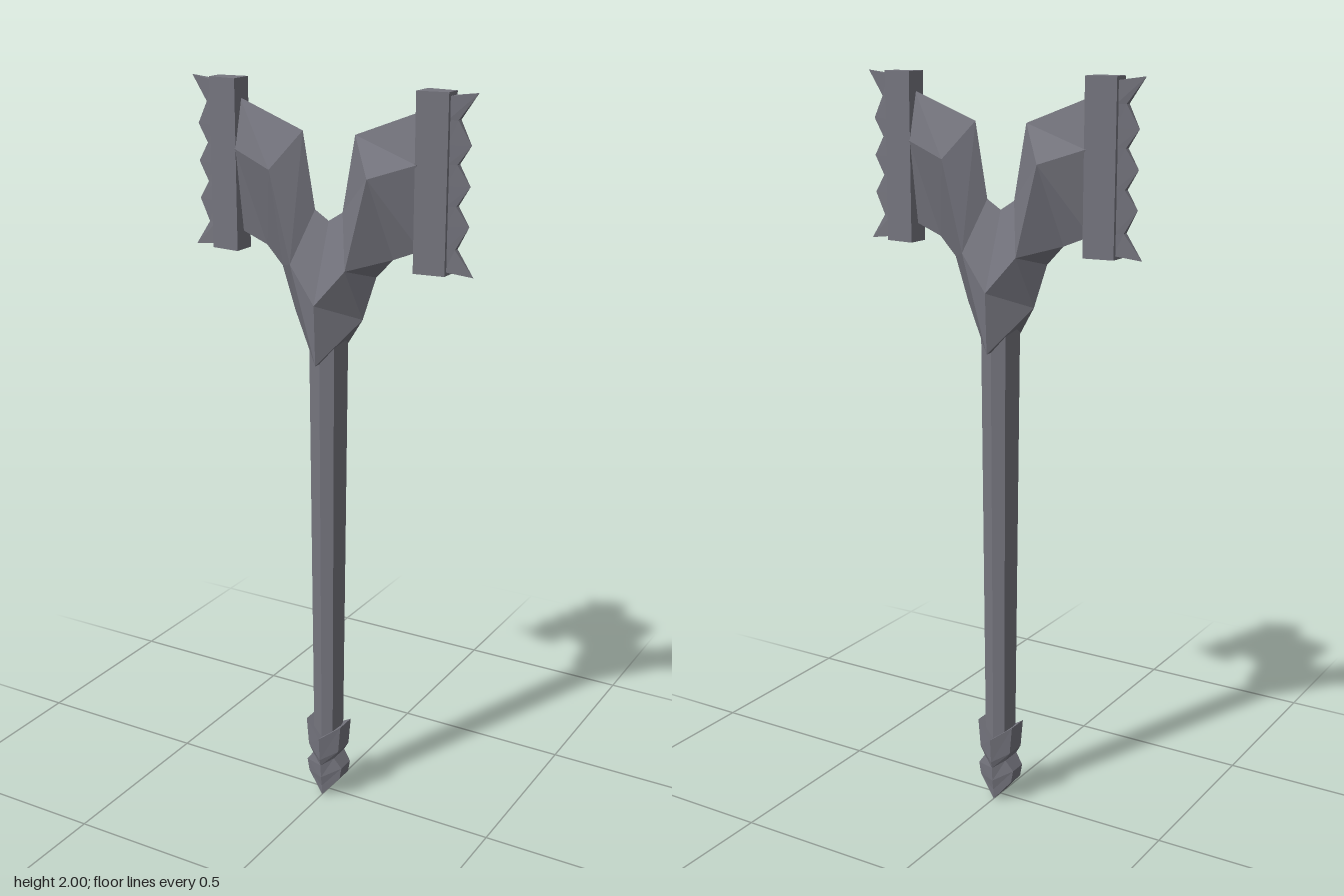
import * as THREE from 'three';

const iron = new THREE.MeshStandardMaterial({ color: 0x75757e });
iron.name = 'darkIron';
iron.flatShading = true;

// Skins a list of equal-length point rings and caps both ends.
function loft(name, rings) {
  const pos = [];
  const tri = (a, b, c) => pos.push(...a, ...b, ...c);
  const n = rings[0].length;
  for (let i = 0; i < rings.length - 1; i++) {
    for (let j = 0; j < n; j++) {
      const k = (j + 1) % n;
      const a = rings[i][j], b = rings[i][k], c = rings[i + 1][k], d = rings[i + 1][j];
      tri(a, b, c);
      tri(a, c, d);
    }
  }
  const first = rings[0], last = rings[rings.length - 1];
  for (let j = 1; j < n - 1; j++) {
    tri(first[0], first[j + 1], first[j]);
    tri(last[0], last[j], last[j + 1]);
  }
  const geo = new THREE.BufferGeometry();
  geo.setAttribute('position', new THREE.Float32BufferAttribute(pos, 3));
  geo.computeVertexNormals();
  const mesh = new THREE.Mesh(geo, iron);
  mesh.name = name;
  return mesh;
}

// Eight-sided shaft ring with an edge facing each axis
const shaftRing = (y, r) => [...Array(8).keys()].map((i) => {
  const a = i * Math.PI / 4, s = i % 2 ? r * 1.06 : r;
  return [Math.sin(a) * s, y, Math.cos(a) * s];
});

// Six-sided pommel ring whose front and back points sit at their own height
const pommelRing = (sx, sy, sz, fy, fz) => [
  [0, fy, fz], [sx, sy, sz], [sx, sy, -sz], [0, fy, -fz], [-sx, sy, -sz], [-sx, sy, sz],
];

// Forked head: crotch edge, ridge and underside at one station
const headRing = ([tx, ty, rx, ry, rz, bx, by, bz]) => [
  [tx, ty, 0], [rx, ry, rz], [bx, by, bz], [bx, by, -bz], [rx, ry, -rz],
];

function makeHead() {
  const half = [
    [0, 1.66, 0, 1.455, 0.077, 0, 1.295, 0.07],
    [0.04, 1.685, 0.08, 1.55, 0.06, 0.1, 1.415, 0],
    [0.04, 1.685, 0.08, 1.55, 0.06, 0.138, 1.53, 0],
    [0.075, 1.88, 0.14, 1.785, 0.06, 0.185, 1.58, 0],
    [0.26, 1.95, 0.26, 1.825, 0.032, 0.26, 1.61, 0],
  ];
  const right = half.map(headRing);
  const left = right.slice(1).reverse().map((r) => r.map(([x, y, z]) => [-x, y, z]));
  return loft('forkedHead', [...left, ...right]);
}

// Striking face: tapered plate with a row of teeth
function makeStrikingFace(name) {
  const g = new THREE.Group();
  g.name = name;
  const plateRing = (y) => [
    [0.256, y, 0.032], [0.338, y, 0.023], [0.338, y, -0.023], [0.256, y, -0.032],
  ];
  g.add(loft('plate', [plateRing(1.56), plateRing(2)]));

  const edge = [
    [0.405, 1.56], [0.357, 1.625], [0.39, 1.683], [0.357, 1.73], [0.39, 1.78],
    [0.357, 1.83], [0.39, 1.877], [0.357, 1.935], [0.405, 2],
  ];
  const teeth = edge.map(([x, y], i) => {
    const e = i % 2 ? 0.008 : 0;
    const by = THREE.MathUtils.clamp(y, 1.57, 1.99);
    return [[0.333, by, 0.015], [x, y, e], [x, y, -e], [0.333, by, -0.015]];
  });
  g.add(loft('teeth', teeth));
  return g;
}

export function createModel() {
  const model = new THREE.Group();
  model.name = 'warHammer';

  model.add(loft('shaft', [shaftRing(0.15, 0.04), shaftRing(1.42, 0.05)]));
  model.add(makeHead());

  // Pommel: chisel tip, waist and pointed collar
  model.add(loft('pommel', [
    pommelRing(0, 0, 0.038, 0, 0.038),
    pommelRing(0.05, 0.06, 0.025, 0.03, 0.04),
    pommelRing(0.056, 0.095, 0.025, 0.06, 0.045),
    pommelRing(0.034, 0.125, 0.03, 0.1, 0.047),
    pommelRing(0.048, 0.15, 0.03, 0.12, 0.052),
    pommelRing(0.055, 0.23, 0.03, 0.19, 0.057),
  ]));

  // Matching striking faces on both arms
  model.add(makeStrikingFace('leftStrikingFace'));
  const other = makeStrikingFace('rightStrikingFace');
  other.rotation.y = Math.PI;
  model.add(other);
  return model;
}
